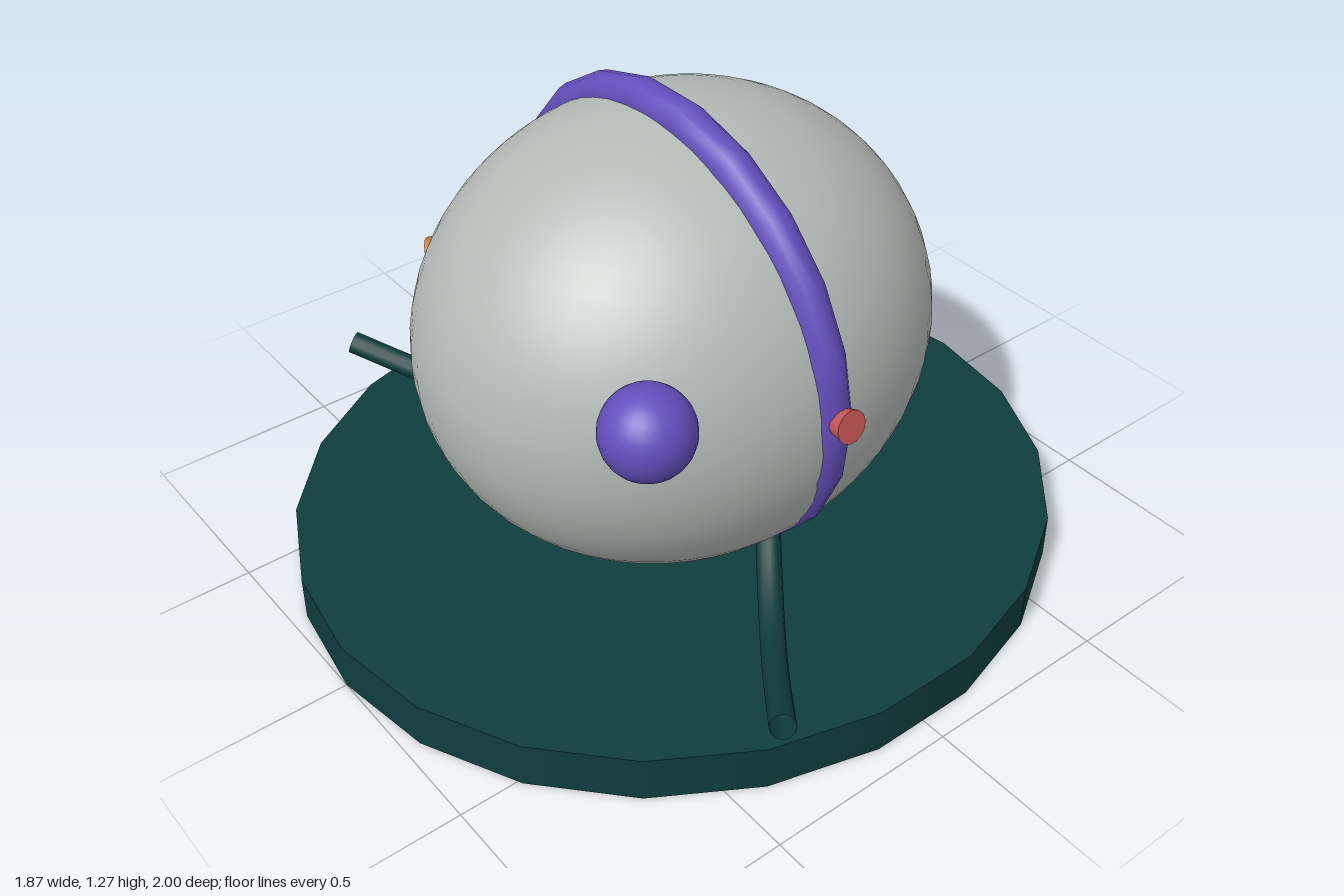
import * as THREE from 'three';

const mat = (name, color, side = THREE.FrontSide) => {
  const m = new THREE.MeshStandardMaterial({ color, side });
  m.name = name;
  return m;
};

export function createModel() {
  const green = mat('dark green', 0x0f3d3d, THREE.DoubleSide);
  const grey = mat('pale grey', 0xb4bbb7);
  const purple = mat('purple', 0x634fbd);
  const orange = mat('orange', 0xbf7a1f, THREE.DoubleSide);
  const red = mat('red', 0xc95856);

  const model = new THREE.Group();
  const add = (name, geometry, material, x = 0, y = 0, z = 0) => {
    const mesh = new THREE.Mesh(geometry, material);
    mesh.name = name;
    mesh.position.set(x, y, z);
    model.add(mesh);
    return mesh;
  };
  const tube = (points, radius, segments) => new THREE.TubeGeometry(
    new THREE.CatmullRomCurve3(points.map(p => new THREE.Vector3(...p))), segments, radius, 12);

  // Oval stand
  add('base', new THREE.CylinderGeometry(1, 1, 0.12, 22), green, 0, 0.06, 0).scale.x = 0.945;

  // Egg-shaped body, longer from front to back
  add('body', new THREE.SphereGeometry(1, 48, 32), grey, 0, 0.64, 0).scale.set(0.59, 0.59, 0.67);

  // Slightly tilted band around the body
  add('band', new THREE.TorusGeometry(0.566, 0.05, 12, 22), purple, 0, 0.665, 0).rotation.x = 0.05;

  // Floating ball
  add('ball', new THREE.SphereGeometry(0.105, 24, 16), purple, 0.6, 0.915, 0.545);

  // Button on the side of the band, wider at its outer face
  add('button', new THREE.CylinderGeometry(0.042, 0.03, 0.06, 14), red, 0.607, 0.68, 0)
    .rotation.z = -Math.PI / 2 + 0.18;

  // Spout
  add('spout', tube([[-0.5, 0.605, -0.24], [-0.69, 0.53, -0.03], [-0.88, 0.457, 0.175]], 0.045, 8), orange);

  // Mirrored pair of curved open tubes
  for (const s of [1, -1]) {
    add(s > 0 ? 'leftArm' : 'rightArm', tube([
      [s * 0.39, 0.275, 0.02], [s * 0.52, 0.18, 0.12], [s * 0.63, 0.147, 0.205],
      [s * 0.75, 0.178, 0.3], [s * 0.912, 0.243, 0.425],
    ], 0.031, 16), green);
  }
  return model;
}
